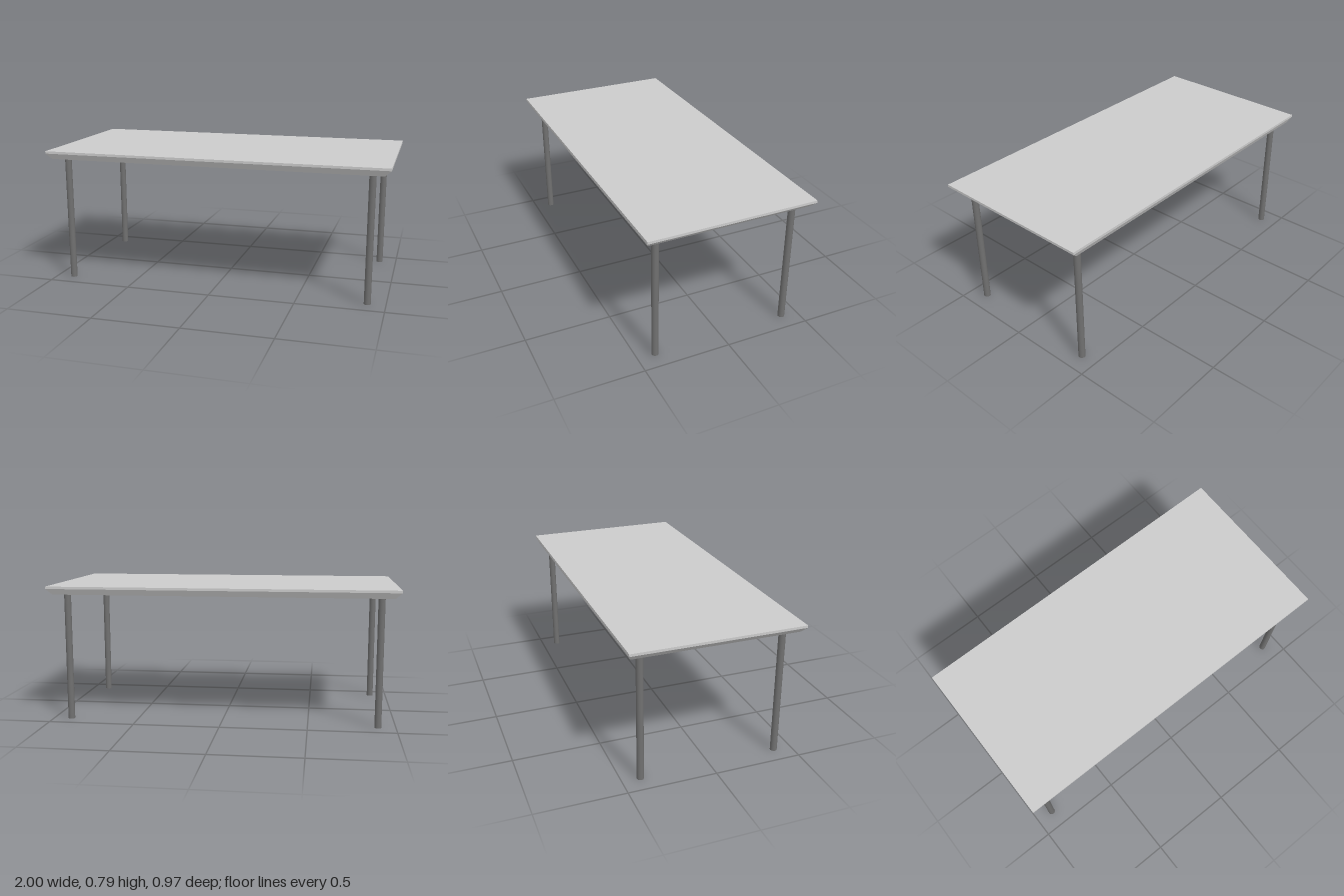
import * as THREE from 'three';

const TOP_Y = 0.79, EDGE_Y = 0.776, UNDER_Y = 0.743, LEG_H = 0.738;

// Table top: a box with one middle ring, bevelled inwards below it
function makeTop() {
  const box = new THREE.BoxGeometry(2, 2, 0.968, 1, 2, 1);
  const p = box.attributes.position;
  for (let i = 0; i < p.count; i++) {
    const y = p.getY(i);
    if (y < -0.5) {
      p.setX(i, Math.sign(p.getX(i)) * 0.965);
      p.setZ(i, Math.sign(p.getZ(i)) * 0.467);
    }
    p.setY(i, y > 0.5 ? TOP_Y : y < -0.5 ? UNDER_Y : EDGE_Y);
  }
  const geometry = box.toNonIndexed();
  geometry.computeVertexNormals();
  return geometry;
}

export function createModel() {
  const table = new THREE.Group();
  table.name = 'table';

  const top = new THREE.Mesh(makeTop(), new THREE.MeshStandardMaterial({ color: 0xcccccc }));
  top.name = 'tableTop';
  table.add(top);

  // Four round legs, stopping just short of the top
  const legMaterial = new THREE.MeshStandardMaterial({ color: 0x707070 });
  const legGeometry = new THREE.CylinderGeometry(0.0195, 0.0195, LEG_H, 20);
  const legs = [
    ['frontLeftLeg', 0.897, 0.397],
    ['frontRightLeg', -0.898, 0.397],
    ['backLeftLeg', 0.897, -0.402],
    ['backRightLeg', -0.898, -0.397],
  ];
  for (const [name, x, z] of legs) {
    const leg = new THREE.Mesh(legGeometry, legMaterial);
    leg.name = name;
    leg.position.set(x, LEG_H / 2, z);
    table.add(leg);
  }
  return table;
}
